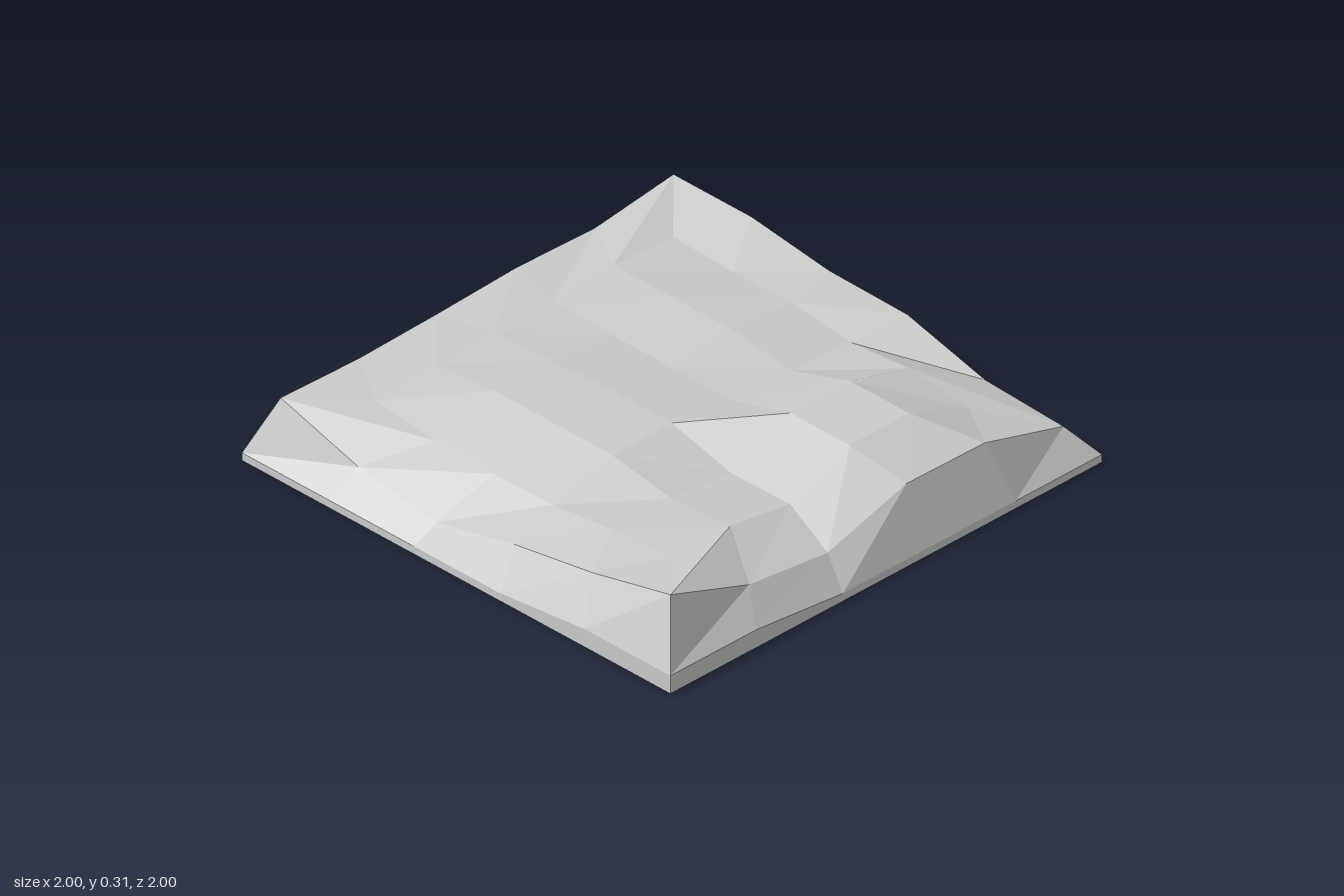
import * as THREE from 'three';

const N = 6;
const step = i => -1 + (2 * i) / (N - 1);

// Unit-square perimeter, 20 points, counter-clockwise from above, starting front left of the frame
const perimeter = [];
for (const [dx, dz, sx, sz] of [[1, 0, 0, 1], [0, -1, 1, 0], [-1, 0, 0, -1], [0, 1, -1, 0]])
  for (let i = 0; i < N - 1; i++)
    perimeter.push([sx + dx * step(i), sz + dz * step(i)]);

const ring = (size, height) => perimeter.map(([x, z], i) =>
  new THREE.Vector3(x * size, Array.isArray(height) ? height[i] : height, z * size));

// Surface heights, rows from back to front, columns from -x to +x
const heights = [
  [0.25, 0.24, 0.245, 0.215, 0.24, 0.21],
  [0.265, 0.265, 0.265, 0.23, 0.315, 0.315],
  [0.25, 0.24, 0.24, 0.24, 0.315, 0.315],
  [0.25, 0.265, 0.275, 0.275, 0.205, 0.21],
  [0.25, 0.275, 0.275, 0.275, 0.23, 0.25],
  [0.235, 0.205, 0.2, 0.205, 0.235, 0.25],
];
// Edge heights in perimeter order: front, right, back, left
const rimHeights = [
  0.245, 0.14, 0.09, 0.17, 0.225, 0.305, 0.18, 0.14, 0.245, 0.24,
  0.14, 0.155, 0.245, 0.25, 0.295, 0.295, 0.25, 0.26, 0.245, 0.235,
];
const skirtHeights = perimeter.map((_, i) => (i >= 4 && i <= 6 ? 0.07 : 0.03));

const INNER = 0.69, RIM = 0.91, FLOOR = 0.75, FLOOR_Y = 0.06;

// Flat mesh from a list of four-cornered faces
function quadMesh(name, quads) {
  const points = quads.flatMap(([a, b, c, d]) => [a, b, c, a, c, d]);
  const geometry = new THREE.BufferGeometry().setFromPoints(points);
  geometry.computeVertexNormals();
  const mesh = new THREE.Mesh(geometry,
    new THREE.MeshStandardMaterial({ color: 0xcccccc, flatShading: true }));
  mesh.name = name;
  return mesh;
}

// Band of faces between two rings, ordered from lower to upper
const band = (low, high) => low.map((p, i) => {
  const j = (i + 1) % low.length;
  return [p, low[j], high[j], high[i]];
});

export function createModel() {
  const group = new THREE.Group();
  group.name = 'terrainTile';

  // Rolling ground: inner grid
  const grid = heights.map((row, r) => row.map((y, c) =>
    new THREE.Vector3(step(c) * INNER, y, step(r) * INNER)));
  const ground = [];
  for (let r = 0; r < N - 1; r++)
    for (let c = 0; c < N - 1; c++)
      ground.push([grid[r + 1][c], grid[r + 1][c + 1], grid[r][c + 1], grid[r][c]]);

  // Ground border from the rim up to the grid edge
  const innerHeights = perimeter.map(([x, z]) => {
    const index = v => Math.round(((v + 1) / 2) * (N - 1));
    return heights[index(z)][index(x)];
  });
  const rim = ring(RIM, rimHeights);
  ground.push(...band(rim, ring(INNER, innerHeights)));
  group.add(quadMesh('ground', ground));

  // Sloping sides and low vertical base edge
  const skirt = ring(1, skirtHeights), base = ring(1, 0);
  group.add(quadMesh('slopingSides', band(skirt, rim)));
  group.add(quadMesh('baseEdge', band(base, skirt)));

  // Underside: narrow foot and shallow recess
  const foot = ring(0.96, 0), floor = ring(FLOOR, FLOOR_Y);
  group.add(quadMesh('underside', [
    ...band(foot, base),
    ...band(floor, foot),
    [floor[0], floor[15], floor[10], floor[5]],
  ]));
  return group;
}
